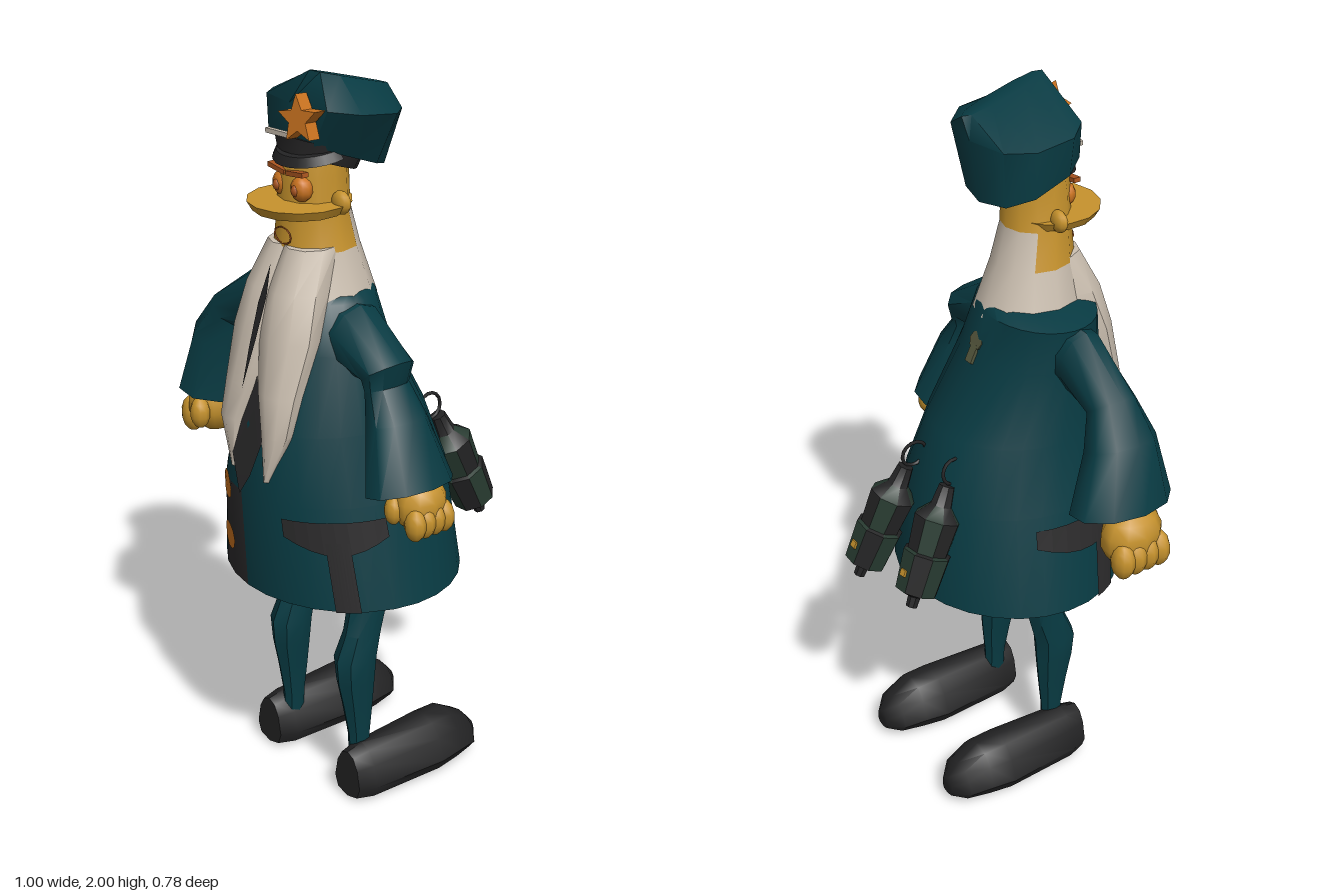
import * as THREE from 'three';
import { toCreasedNormals } from 'three/addons/utils/BufferGeometryUtils.js';

const mat = (name, color) => new THREE.MeshStandardMaterial({ name, color, side: THREE.DoubleSide });
const teal = mat('teal cloth', 0x083b43), dark = mat('dark trim', 0x2b2a2b), black = mat('black leather', 0x232324),
  gold = mat('golden skin', 0xc7932d), cream = mat('cream hair', 0xcdc1b2), orange = mat('orange', 0xcc7420),
  rust = mat('rust', 0xa9541f), camo = mat('camo green', 0x273a30), olive = mat('olive metal', 0x55573d);

const pw = (v, p) => Math.sign(v) * Math.abs(v) ** p;

// One ellipse section: centre, radii, slopes that tilt it along x and z
const ring = (n, phase, p, [x, y, z, rx, rz, sx = 0, sz = 0]) => Array.from({ length: n }, (_, i) => {
  const t = phase + i / n * Math.PI * 2, dx = rx * pw(Math.cos(t), p), dz = rz * pw(Math.sin(t), p);
  return [x + dx, y + dx * sx + dz * sz, z + dz];
});

// Skin over sections listed bottom to top; pick(row, segment) chooses the material, rows -1 and 'top' are caps
function loft(sections, { n = 10, phase = 0, p = 1, bottom = true, top = true, pick = () => 0 } = {}) {
  const rings = sections.map(s => ring(n, phase, p, s)), bins = [];
  const put = (m, ...pts) => (bins[m] ??= []).push(...pts.flat());
  const cap = (r, s, m, flip) => r.forEach((a, i) => {
    const b = r[(i + 1) % n], c = s.slice(0, 3);
    flip ? put(m, c, b, a) : put(m, c, a, b);
  });
  for (let j = 0; j < rings.length - 1; j++) for (let i = 0; i < n; i++) {
    const k = (i + 1) % n, a = rings[j], b = rings[j + 1];
    put(pick(j, i), a[i], b[i], a[k], a[k], b[i], b[k]);
  }
  if (bottom) cap(rings[0], sections[0], pick(-1, 0), false);
  if (top) cap(rings.at(-1), sections.at(-1), pick('top', 0), true);
  const geo = new THREE.BufferGeometry();
  geo.setAttribute('position', new THREE.Float32BufferAttribute(bins.flat(), 3));
  let start = 0;
  bins.forEach((b, m) => { geo.addGroup(start, b.length / 3, m); start += b.length / 3; });
  return toCreasedNormals(geo, 0.75);
}

// Coat sections, the section at height y, and patches lying on the coat between two angles (degrees)
const COAT = [[0.06, 0.64, 0.068, 0.333, 0.3], [0.06, 0.92, 0.088, 0.275, 0.298], [0.06, 1.1, 0.11, 0.228, 0.252],
  [0.045, 1.3, 0.135, 0.203, 0.167], [0.02, 1.42, 0.135, 0.185, 0.143], [0.05, 1.44, 0.135, 0.13, 0.125]];
function coatAt(y) {
  const j = Math.max(0, Math.min(COAT.length - 2, COAT.findIndex(s => s[1] > y) - 1));
  const f = (y - COAT[j][1]) / (COAT[j + 1][1] - COAT[j][1]);
  return COAT[j].map((v, i) => v + (COAT[j + 1][i] - v) * f);
}
function coatPatch(lift, t0, t1, yLow, yHigh, sag = 0) {
  const pos = [], N = 8;
  const pt = (t, y) => {
    const [x, , z, rx, rz] = coatAt(y), a = t * Math.PI / 180;
    return [x + (rx + lift) * Math.cos(a), y, z + (rz + lift) * Math.sin(a)];
  };
  for (let i = 0; i < N; i++) {
    const ta = t0 + (t1 - t0) * i / N, tb = t0 + (t1 - t0) * (i + 1) / N;
    const low = k => yLow - sag * Math.sin(Math.PI * k / N);
    const a = pt(ta, low(i)), b = pt(tb, low(i + 1)), c = pt(tb, yHigh), d = pt(ta, yHigh);
    pos.push(...a, ...d, ...b, ...b, ...d, ...c);
  }
  const g = new THREE.BufferGeometry();
  g.setAttribute('position', new THREE.Float32BufferAttribute(pos, 3));
  g.computeVertexNormals();
  return g;
}
// Lay a flat geometry onto the front of the coat
function onFront(geo, lift) {
  const q = geo.attributes.position;
  for (let i = 0; i < q.count; i++) {
    const [x, , z, rx, rz] = coatAt(q.getY(i));
    q.setZ(i, z + lift + rz * Math.sqrt(1 - ((q.getX(i) - x) / rx) ** 2));
  }
  geo.computeVertexNormals();
  return geo;
}
const shape = pts => new THREE.Shape(pts.map(p => new THREE.Vector2(...p)));

// Shoe from heel (+z) to rounded toe (-z), wider at the sole than on top
function shoeGeometry() {
  const g = loft([[0, -0.19, 0.078, 0.045, 0.07], [0, -0.14, 0.08, 0.06, 0.078], [0, 0.08, 0.085, 0.08, 0.078],
    [0, 0.15, 0.088, 0.076, 0.074], [0, 0.215, 0.07, 0.058, 0.052], [0, 0.25, 0.055, 0.022, 0.028]],
  { n: 10, phase: 0.31, p: 0.8 }).rotateX(-Math.PI / 2);
  const q = g.attributes.position;
  for (let i = 0; i < q.count; i++) q.setX(i, q.getX(i) * (1.08 - (q.getY(i) - 0.08) * 4.5));
  return toCreasedNormals(g, 0.75);
}

export function createModel() {
  const model = new THREE.Group();
  const add = (name, geo, material, pos = [0, 0, 0], parent = model) => {
    const m = new THREE.Mesh(geo, material);
    m.name = name;
    m.position.set(...pos);
    parent.add(m);
    return m;
  };
  const blob = (name, material, pos, s, parent) =>
    add(name, new THREE.SphereGeometry(1, 10, 7).scale(...s), material, pos, parent);

  // Coat, open at the hem, with a dark button panel; buttons and pockets show on both faces of the cloth
  add('coat', loft(COAT, { n: 28, phase: 0.295, bottom: false, pick: (j, i) => j === 0 && (i === 6 || i === 7) ? 1 : 0 }), [teal, dark]);
  for (const lift of [0.004, -0.008]) {
    for (const y of [0.9, 0.75]) add('button', onFront(new THREE.CircleGeometry(0.039, 10).translate(-0.052, y, 0), lift), orange);
    for (const [a, b, c, d] of [[13, 66, 33, 45], [134, 200, 151, 164]]) {
      add('pocketFlap', coatPatch(lift, a, b, 0.835, 0.885, 0.04), dark);
      add('pocketSeam', coatPatch(lift, c, d, 0.64, 0.83), dark);
    }
  }
  add('tie', onFront(new THREE.ShapeGeometry(shape([[0.045, 1.24], [-0.005, 1.1], [-0.015, 1.02], [0.05, 0.92], [0.085, 0.98], [0.115, 1.08]])), 0.012), dark);
  add('backTag', new THREE.CylinderGeometry(0.026, 0.026, 0.012, 8).rotateX(Math.PI / 2 + 0.4), olive, [0.06, 1.335, -0.02]);
  add('backTagStrap', new THREE.BoxGeometry(0.026, 0.05, 0.009).rotateX(0.45), olive, [0.06, 1.302, -0.037]);

  // Sleeves, cuff to shoulder, and fists
  const cuff = { pick: j => j === -1 ? 1 : 0, n: 10 };
  add('rightSleeve', loft([[-0.375, 1.02, 0.125, 0.105, 0.145, -0.15], [-0.345, 1.18, 0.14, 0.08, 0.1, -0.35],
    [-0.297, 1.265, 0.145, 0.053, 0.067, -0.72], [-0.165, 1.33, 0.145, 0.02, 0.068, -4.4], [-0.04, 1.33, 0.145, 0.02, 0.075, -4.4]], cuff), [teal, dark]);
  add('leftSleeve', loft([[0.395, 0.985, 0.125, 0.09, 0.125, 0.27], [0.352, 1.155, 0.135, 0.065, 0.085, 0.2],
    [0.322, 1.235, 0.14, 0.037, 0.065, 0.3], [0.324, 1.277, 0.14, 0.05, 0.075, 0.7],
    [0.2, 1.33, 0.14, 0.02, 0.085, 4.4], [0.08, 1.33, 0.14, 0.02, 0.08, 4.4]], cuff), [teal, dark]);
  for (const [side, x, y, s] of [['right', -0.425, 0.95, 1], ['left', 0.438, 0.955, 0.84]]) {
    const hand = new THREE.Group(), out = Math.sign(x);
    hand.name = side + 'Hand';
    hand.position.set(x, y, 0.125);
    hand.scale.setScalar(s);
    model.add(hand);
    blob('palm', gold, [0, 0, 0], [0.068, 0.088, 0.088], hand);
    for (let i = 0; i < 4; i++) blob('finger', gold, [out * 0.04, -0.04, -0.055 + i * 0.037], [0.037, 0.052, 0.031], hand);
    blob('thumb', gold, [-out * 0.03, -0.01, 0.08], [0.03, 0.045, 0.028], hand);
  }

  // Legs and long shoes reaching backward
  for (const [side, hip, foot, shoe] of [['right', -0.085, -0.09, -0.12], ['left', 0.185, 0.2, 0.23]]) {
    const at = f => hip + (foot - hip) * f;
    add(side + 'Leg', loft([[at(1), 0.1, 0.125, 0.025, 0.03], [at(0.9), 0.17, 0.125, 0.027, 0.032], [at(0.75), 0.26, 0.128, 0.036, 0.045],
      [at(0.6), 0.34, 0.133, 0.045, 0.057], [at(0.5), 0.41, 0.133, 0.052, 0.062], [at(0.4), 0.48, 0.108, 0.044, 0.056],
      [at(0.2), 0.6, 0.078, 0.05, 0.056], [hip, 0.74, 0.07, 0.05, 0.055]], { n: 8 }), teal);
    add(side + 'Shoe', shoeGeometry(), black, [shoe, 0, 0]);
  }

  // Head: hair below and behind, skin in front
  add('head', loft([[0.055, 1.4, 0.135, 0.145, 0.145], [0.05, 1.54, 0.143, 0.105, 0.11], [0.052, 1.64, 0.153, 0.09, 0.092],
    [0.055, 1.73, 0.155, 0.084, 0.09], [0.055, 1.8, 0.15, 0.08, 0.08]], { n: 12, pick: (j, i) => j === 0 || (j === 1 && i > 6 && i < 11) ? 1 : 0 }), [gold, cream]);
  for (const s of [-1, 1]) {
    blob('eye', orange, [0.06 + s * 0.036, 1.702, 0.224], [0.031, 0.033, 0.026]);
    blob('pupil', rust, [0.06 + s * 0.036, 1.7, 0.243], [0.013, 0.015, 0.012]);
    add('brow', new THREE.BoxGeometry(0.065, 0.012, 0.02).rotateZ(s * 0.12), rust, [0.06 + s * 0.036, 1.742, 0.238]);
    blob('ear', gold, [0.058 + s * 0.105, 1.67, 0.155], [0.032, 0.03, 0.018]);
    // Beard lock
    const x = d => 0.057 + s * d;
    add('beardLock', loft([[x(0.068), 0.97, 0.365, 0.008, 0.01], [x(0.085), 1.1, 0.345, 0.045, 0.036], [x(0.067), 1.2, 0.318, 0.066, 0.05],
      [x(0.052), 1.34, 0.275, 0.092, 0.066], [x(0.042), 1.45, 0.238, 0.084, 0.075], [x(0.032), 1.555, 0.19, 0.066, 0.07]], { n: 9, phase: 0.17 }), cream);
  }
  add('moustache', new THREE.CylinderGeometry(0.132, 0.118, 0.024, 14), gold, [0.06, 1.655, 0.203]);
  add('mouth', new THREE.TorusGeometry(0.028, 0.0025, 4, 12).scale(1.15, 0.75, 1), rust, [0.052, 1.578, 0.25]);
  add('beardParting', new THREE.ShapeGeometry(shape([[0.057, 1.52], [0.044, 1.42], [0.048, 1.3], [0.057, 1.2], [0.066, 1.33], [0.07, 1.44]]))
    .translate(0, -1.4, 0).rotateX(-0.3), black, [0, 1.4, 0.328]);

  // Cap with band, visor, braid and star
  add('capCrown', loft([[0.05, 1.78, 0.11, 0.137, 0.13, -0.05, 0.37], [0.083, 1.9, 0.112, 0.18, 0.137, 0, 0.12],
    [0.125, 1.965, 0.1, 0.025, 0.12, 0, 0.28]], { n: 10, phase: 0.314, p: 0.8 }), teal);
  add('capBand', loft([[0.064, 1.757, 0.15, 0.092, 0.1, 0, 0.35], [0.068, 1.8, 0.145, 0.106, 0.113, 0, 0.32]], { n: 12 }), dark);
  add('visor', new THREE.CylinderGeometry(0.095, 0.108, 0.022, 14, 1, false, -Math.PI / 2, Math.PI).rotateX(0.2), black, [0.075, 1.795, 0.165]);
  add('braid', new THREE.BoxGeometry(0.1, 0.012, 0.012).rotateZ(0.05), cream, [0.055, 1.838, 0.257]);
  const points = Array.from({ length: 10 }, (_, i) => {
    const r = i % 2 ? 0.027 : 0.06, a = Math.PI / 2 + i * Math.PI / 5;
    return [r * Math.cos(a), r * Math.sin(a)];
  });
  const star = add('star', new THREE.ExtrudeGeometry(shape(points), { depth: 0.04, bevelEnabled: false }), orange, [0.142, 1.89, 0.24]);
  star.rotation.set(-0.1, 0.2, 0.15);

  // Two flasks hanging from rings on the back
  for (const [x, z, roll] of [[0.115, -0.215, 0.08], [-0.025, -0.175, -0.1]]) {
    const flask = new THREE.Group();
    flask.name = 'hangingFlask';
    flask.position.set(x, 0.99, z);
    flask.rotation.set(0.42, 0, roll);
    model.add(flask);
    add('flaskBody', loft([[0, -0.345, 0, 0.016, 0.016], [0, -0.315, 0, 0.018, 0.018], [0, -0.3, 0, 0.058, 0.058], [0, -0.19, 0, 0.066, 0.066],
      [0, -0.185, 0, 0.056, 0.056], [0, -0.09, 0, 0.064, 0.064], [0, -0.055, 0, 0.03, 0.03], [0, 0, 0, 0.022, 0.022]],
    { n: 8, phase: 0.39, pick: (j, i) => j >= 2 && j <= 5 && (i + (j >> 1)) % 2 === 0 ? 1 : 0 }), [black, camo], [0, 0, 0], flask);
    add('flaskLabel', new THREE.BoxGeometry(0.02, 0.018, 0.008), gold, [0, -0.25, -0.059], flask);
    add('pullRing', new THREE.TorusGeometry(0.036, 0.005, 5, 14).rotateY(Math.PI / 2), black, [0, 0.04, 0.01], flask);
  }
  return model;
}
